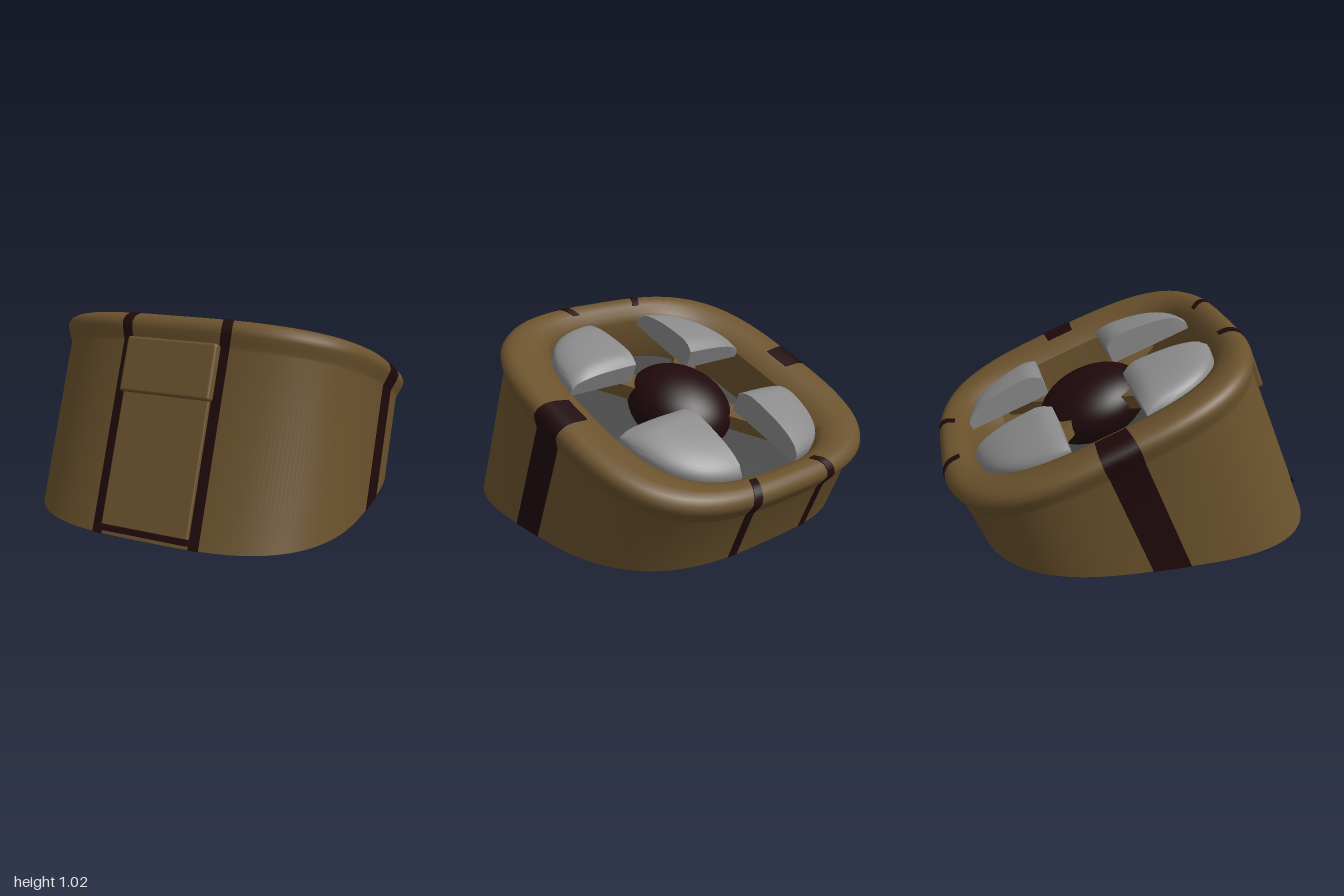
import * as THREE from 'three';
import { toCreasedNormals } from 'three/addons/utils/BufferGeometryUtils.js';
import { RoundedBoxGeometry } from 'three/addons/geometries/RoundedBoxGeometry.js';

const TILT = 22 * Math.PI / 180, LIFT = 0.70, SHIFT = -0.213;

const mat = (name, color) => {
  const m = new THREE.MeshStandardMaterial({ color });
  m.name = name;
  return m;
};

// Point on a superellipse; t = 0 is the front (+z), growing towards +x
function superPoint(a, b, n, t) {
  const p = v => Math.sign(v) * Math.abs(v) ** (2 / n);
  return [a * p(Math.sin(t)), b * p(Math.cos(t))];
}

// Local height at which the tilted body meets the ground
const groundY = z => -(LIFT + Math.sin(TILT) * z) / Math.cos(TILT);

// Skin over rows of points, ordered from bottom to top
function skin(rows, closed, crease = 0.7) {
  const n = rows[0].length, index = [];
  for (let j = 0; j < rows.length - 1; j++) {
    for (let i = 0; i < (closed ? n : n - 1); i++) {
      const k = (i + 1) % n, a = j * n + i, b = j * n + k, c = b + n, d = a + n;
      index.push(a, b, c, a, c, d);
    }
  }
  const g = new THREE.BufferGeometry();
  g.setAttribute('position', new THREE.Float32BufferAttribute(rows.flat(2), 3));
  g.setIndex(index);
  return toCreasedNormals(g, crease);
}

// Wall and rim profile: half width, half length, height (null = ground), roundness, outward and upward normal
const PROFILE = [
  [0.865, 0.840, null, 3.1, 1, 0],
  [0.865, 0.840, -0.14, 3.1, 1, 0],
  [0.868, 0.843, -0.125, 3.1, 1, -0.2],
  [0.879, 0.853, -0.10, 3.1, 1, -0.3],
  [0.890, 0.863, -0.07, 3.1, 1, -0.2],
  [0.896, 0.868, -0.045, 3.1, 1, 0],
  [0.884, 0.857, -0.018, 3.1, 0.8, 0.6],
  [0.862, 0.837, 0, 3.1, 0.5, 0.9],
  [0.838, 0.820, 0.008, 3.1, 0.2, 1],
  [0.80, 0.795, 0.01, 3.1, 0, 1],
  [0.72, 0.755, 0, 3.1, -0.1, 1],
  [0.65, 0.715, -0.03, 3.15, -0.5, 0.8],
  [0.612, 0.692, -0.07, 3.2, -1, 0],
  [0.612, 0.692, -0.34, 3.2, -1, 0],
];
const STRAP_ROWS = 11;

function profilePoint([a, b, y, n, nr, ny], t, off = 0) {
  const [x, z] = superPoint(a + off * nr, b + off * nr, n, t);
  return [x, y === null ? groundY(z) : y + off * ny, z];
}

const around = Array.from({ length: 192 }, (_, i) => i / 192 * Math.PI * 2);

// Thin band over wall and rim between two angles
function strapGeometry(t0, t1, off) {
  const cols = [[t0, -0.01]];
  for (let i = 0; i <= 6; i++) cols.push([t0 + (t1 - t0) * i / 6, off]);
  cols.push([t1, -0.01]);
  const rows = PROFILE.slice(0, STRAP_ROWS).map(p => cols.map(([t, o]) => profilePoint(p, t, o)));
  rows.push(cols.map(([t]) => profilePoint(PROFILE[STRAP_ROWS - 1], t, -0.01)));
  return skin(rows, false);
}

// Domed corner panel: flat underside, straight inner edges, thinning outwards
function panelGeometry(sx, sz) {
  const gapX = 0.2, gapZ = 0.205, a = 0.606, b = 0.688, n = 3.2, under = -0.09, loop = [];
  const endX = a * (1 - (gapZ / b) ** n) ** (1 / n), endZ = b * (1 - (gapX / a) ** n) ** (1 / n);
  const t0 = Math.asin((gapX / a) ** (n / 2)), t1 = Math.acos((gapZ / b) ** (n / 2));
  for (let i = 0; i < 24; i++) loop.push(superPoint(a, b, n, t0 + (t1 - t0) * i / 24));
  for (let i = 0; i < 12; i++) loop.push([endX + (gapX - endX) * i / 12, gapZ]);
  for (let i = 0; i < 12; i++) loop.push([gapX, gapZ + (endZ - gapZ) * i / 12]);
  if (sx * sz < 0) loop.reverse();
  const top = (x, z) => {
    const r4 = Math.min(1, ((x / a) ** n + (z / b) ** n) ** (4 / n));
    const roll = Math.max(0, (0.3 - z) / 0.095);
    return -0.055 + 0.115 * Math.sqrt(1 - r4) - 0.04 * roll * roll * Math.sqrt(1 - r4);
  };
  const row = (s, flat) => loop.map(([x, z]) => {
    const px = 0.38 + (x - 0.38) * s, pz = 0.4 + (z - 0.4) * s;
    return [sx * px, flat ? under : top(px, pz), sz * pz];
  });
  const steps = [1, 0.985, 0.96, 0.92, 0.86, 0.78, 0.68, 0.55, 0.4, 0.2, 0];
  return skin([row(0, true), row(1, true), ...steps.map(s => row(s, false))], true);
}

export function createModel() {
  const brown = mat('brown shell', 0x6b522d);
  const maroon = mat('dark maroon trim', 0x20090b);
  const grey = mat('light grey panel', 0x8a8a8a);
  const darkGrey = mat('dark grey floor', 0x444444);

  const model = new THREE.Group();
  model.name = 'tiltedDevice';
  const body = new THREE.Group();
  body.name = 'tiltedBody';
  body.position.set(0, LIFT, SHIFT);
  body.rotation.x = -TILT;
  model.add(body);

  const add = (name, geometry, material, x = 0, y = 0, z = 0) => {
    const m = new THREE.Mesh(geometry, material);
    m.name = name;
    m.position.set(x, y, z);
    body.add(m);
    return m;
  };

  // Shell: flat base, wall, rolled rim and inner wall
  const base = around.map(() => [0, groundY(0), 0]);
  add('shell', skin([base, ...PROFILE.map(p => around.map(t => profilePoint(p, t)))], true), brown);

  // Recessed floor
  const edge = [0.613, 0.693, -0.33, 3.2, 0, 0], middle = [0, 0, -0.33, 3.2, 0, 0];
  add('floor', skin([edge, middle].map(p => around.map(t => profilePoint(p, t))), true), darkGrey);

  // Straps: narrow pairs front and back, one wide strap on each side
  for (const centre of [0, Math.PI]) {
    for (const s of [-1, 1]) {
      const mid = centre + s * 0.156;
      add(centre ? 'backStrap' : 'frontStrap', strapGeometry(mid - 0.024, mid + 0.024, 0.004), maroon);
    }
  }
  for (const s of [-1, 1]) {
    add('sideStrap', strapGeometry(s * Math.PI / 2 - 0.032, s * Math.PI / 2 + 0.032, 0.004), maroon);
  }

  // Front plate with its flap and lower trim
  add('frontPlate', new RoundedBoxGeometry(0.465, 0.70, 0.06, 2, 0.008), brown, 0, -0.70, 0.828);
  add('frontFlap', new RoundedBoxGeometry(0.485, 0.275, 0.085, 3, 0.015), brown, 0, -0.258, 0.843);
  add('plateTrim', new THREE.BoxGeometry(0.47, 0.03, 0.06), maroon, 0, -1.06, 0.838);

  // Corner panels and the struts under them
  for (const sx of [-1, 1]) {
    for (const sz of [-1, 1]) {
      add('cornerPanel', panelGeometry(sx, sz), grey);
      const strut = add('strut', new THREE.BoxGeometry(0.13, 0.08, 0.5), brown, sx * 0.22, -0.13, sz * 0.24);
      strut.rotation.y = Math.atan2(sx * 0.22, sz * 0.24);
    }
  }

  // Central dome
  const dome = add('centreDome', new THREE.SphereGeometry(1, 48, 32), maroon, 0, -0.16, 0);
  dome.scale.set(0.275, 0.19, 0.308);

  return model;
}
